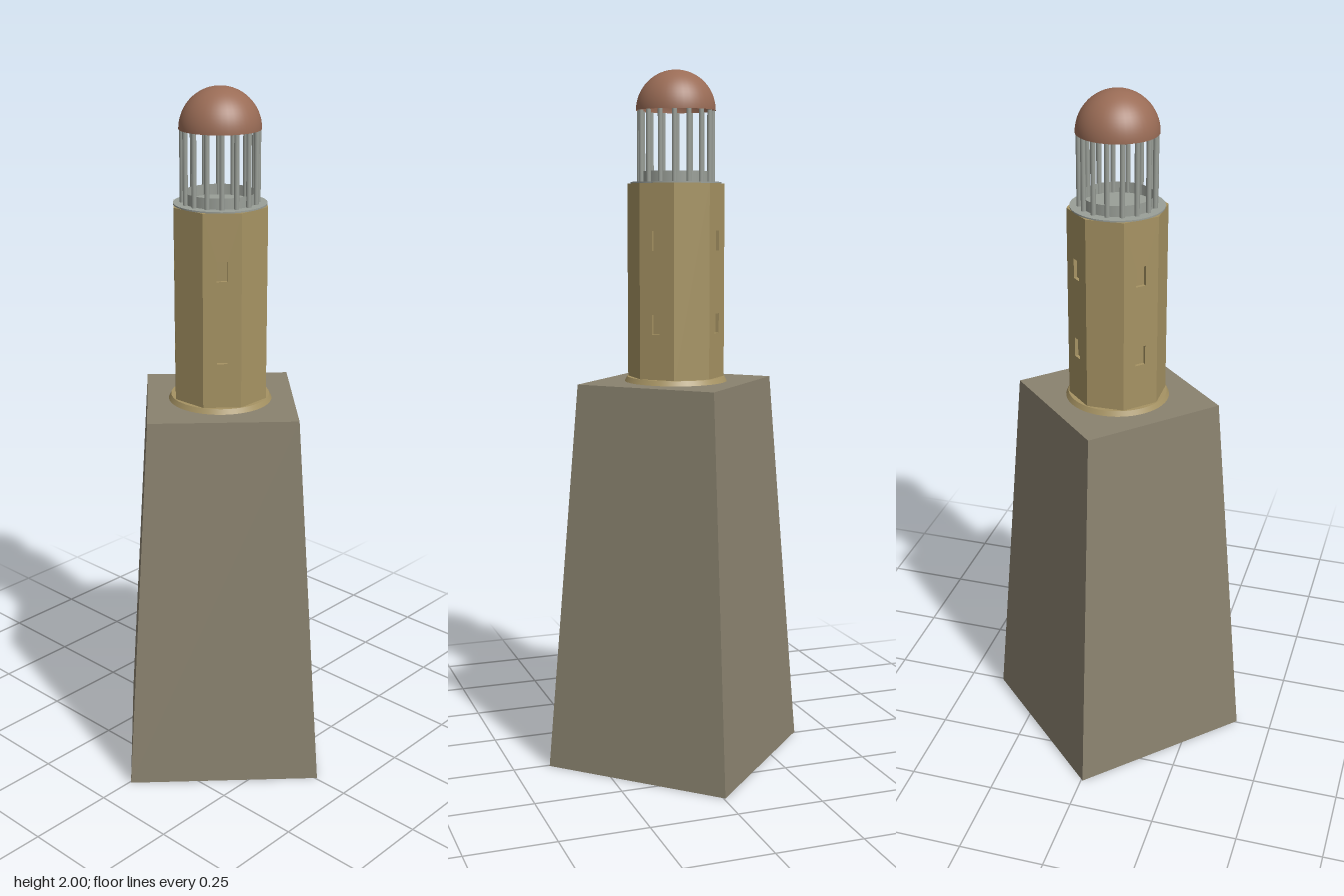
import * as THREE from 'three';

const mat = (name, color, extra = {}) => {
  const m = new THREE.MeshStandardMaterial({ color, ...extra });
  m.name = name;
  return m;
};

export function createModel() {
  const group = new THREE.Group();
  const stone = mat('stone', 0x8a826f, { flatShading: true, side: THREE.DoubleSide });
  const sand = mat('sandstone', 0xa69363);
  const sandFlat = mat('sandstone', 0xa69363, { flatShading: true });
  const metal = mat('grey metal', 0x9a9f98, { side: THREE.DoubleSide });
  const copper = mat('copper', 0x9a6c56, { side: THREE.DoubleSide });

  const add = (name, geo, material, x = 0, y = 0, z = 0) => {
    const mesh = new THREE.Mesh(geo, material);
    mesh.name = name;
    mesh.position.set(x, y, z);
    group.add(mesh);
    return mesh;
  };

  // Tapered square base, hollow underneath
  const baseTop = 1.12;
  add('baseWalls', new THREE.CylinderGeometry(0.297, 0.394, baseTop, 4, 1, true), stone, 0, baseTop / 2);
  add('baseRoof', new THREE.CircleGeometry(0.297, 4).rotateX(-Math.PI / 2), stone, 0, baseTop);

  // Round collar at the foot of the tower
  add('collar', new THREE.CylinderGeometry(0.141, 0.148, 0.014, 48), sand, 0, baseTop + 0.007);

  // Octagonal tower: eight wall panels around a core, windows recessed in the diagonal ones
  const towerTop = 1.684, apothem = 0.128, depth = 0.01;
  const half = apothem * Math.tan(Math.PI / 8);
  const coreR = (apothem - depth) / Math.cos(Math.PI / 8);
  const height = towerTop - baseTop;
  add('towerCore', new THREE.CylinderGeometry(coreR, coreR, height - 0.002, 8).rotateY(Math.PI / 8),
    sandFlat, 0, baseTop + height / 2 - 0.001);
  const rect = (P, w, y0, y1) => {
    const p = new P();
    p.moveTo(-w, y0);
    p.lineTo(w, y0);
    p.lineTo(w, y1);
    p.lineTo(-w, y1);
    p.closePath();
    return p;
  };
  for (let i = 0; i < 8; i++) {
    const shape = rect(THREE.Shape, half, baseTop, towerTop);
    if (i % 2) for (const y of [1.29, 1.524]) shape.holes.push(rect(THREE.Path, 0.015, y - 0.028, y + 0.028));
    const geo = new THREE.ExtrudeGeometry(shape, { depth, bevelEnabled: false });
    geo.translate(0, 0, apothem - depth).rotateY(i * Math.PI / 4);
    add(i % 2 ? 'windowWall' : 'plainWall', geo, sandFlat);
  }

  // Gallery floor and low kerb
  add('galleryFloor', new THREE.CylinderGeometry(0.13, 0.13, 0.004, 48), metal, 0, towerTop + 0.002);
  add('galleryKerb', new THREE.CylinderGeometry(0.1, 0.1, 0.032, 48, 1, true), metal, 0, towerTop + 0.018);

  // Ring of slender columns
  const domeBase = 1.887;
  const columnH = domeBase - towerTop;
  const column = new THREE.CylinderGeometry(0.007, 0.007, columnH, 10);
  for (let i = 0; i < 16; i++) {
    const a = i * Math.PI / 8;
    add('column', column, metal, 0.104 * Math.sin(a), towerTop + columnH / 2, 0.104 * Math.cos(a));
  }

  // Open dome
  add('dome', new THREE.SphereGeometry(0.113, 40, 16, 0, Math.PI * 2, 0, Math.PI / 2), copper, 0, domeBase);

  group.rotation.y = 0.0125;
  const root = new THREE.Group();
  group.name = 'tower';
  root.add(group);
  return root;
}
